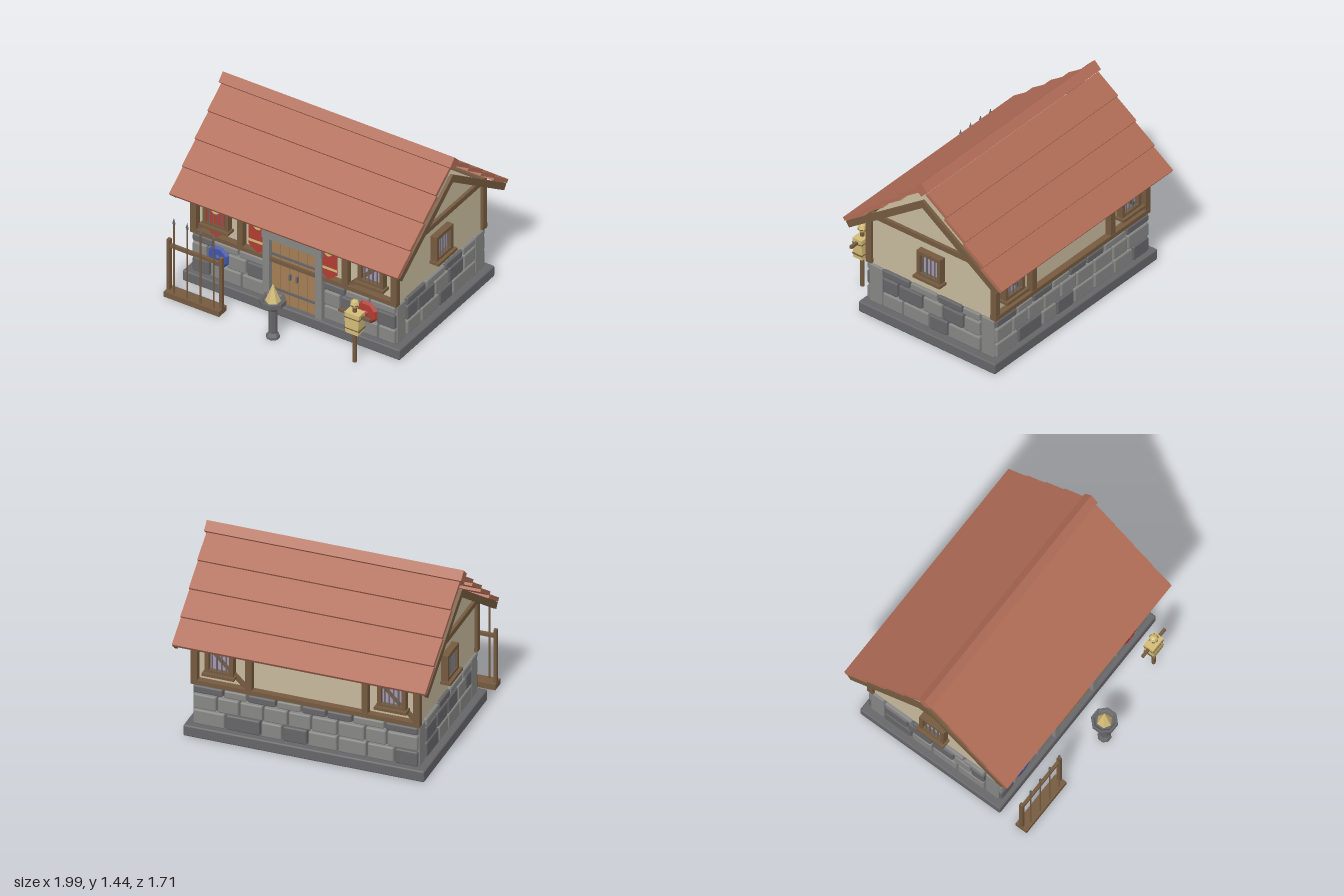
import * as THREE from 'three';
import { RoundedBoxGeometry } from 'three/addons/geometries/RoundedBoxGeometry.js';

const mat = (name, color) => {
  const m = new THREE.MeshStandardMaterial({ color });
  m.name = name;
  return m;
};
const M = {
  roof: mat('roof tile', 0xb06c56), plaster: mat('plaster', 0xc6b99c),
  wood: mat('dark wood', 0x745a3f), plank: mat('plank wood', 0xa47e55),
  stone: mat('light stone', 0x868685), dark: mat('dark stone', 0x666568),
  red: mat('red cloth', 0xb03c33), blue: mat('blue paint', 0x3f55a8),
  gold: mat('straw gold', 0xd2bc78), glass: mat('violet glass', 0xa796ae),
};
const CZ = -0.12;               // ridge line of the house
const HALF = 0.555;             // half depth of the plaster walls
const PITCH = Math.atan(0.697); // roof pitch

const flat = (g) => {
  const f = g.index ? g.toNonIndexed() : g;
  f.computeVertexNormals();
  return f;
};
function add(parent, name, geo, m, x = 0, y = 0, z = 0) {
  const mesh = new THREE.Mesh(geo, m);
  mesh.name = name;
  mesh.position.set(x, y, z);
  parent.add(mesh);
  return mesh;
}
const box = (p, name, m, w, h, d, x, y, z) => add(p, name, new THREE.BoxGeometry(w, h, d), m, x, y, z);
const block = (p, name, m, w, h, d, x, y, z) =>
  add(p, name, new RoundedBoxGeometry(w, h, d, 1, 0.012), m, x, y, z);
const cyl = (p, name, m, r1, r2, h, n, x, y, z) =>
  add(p, name, flat(new THREE.CylinderGeometry(r1, r2, h, n)), m, x, y, z);
function group(parent, name, x = 0, y = 0, z = 0, ry = 0) {
  const g = new THREE.Group();
  g.name = name;
  g.position.set(x, y, z);
  g.rotation.y = ry;
  parent.add(g);
  return g;
}

// Board lying on a roof slope; d, y is its lower outer edge, s the side
function slopeBoard(p, name, m, s, d, y, len, t, w, x) {
  const c = Math.cos(PITCH), n = Math.sin(PITCH);
  const b = box(p, name, m, w, t, len, x, y + n * len / 2 - c * t / 2,
    CZ + s * (d - c * len / 2 - n * t / 2));
  b.rotation.x = s * PITCH;
}

// Barred window facing +z, wall plane at z = 0
function makeWindow(p, x, z, ry) {
  const g = group(p, 'window', x, 0.655, z, ry);
  box(g, 'windowGlass', M.glass, 0.18, 0.18, 0.02, 0, 0, 0.01);
  for (const s of [-1, 1]) {
    box(g, 'windowJamb', M.wood, 0.03, 0.22, 0.055, s * 0.095, 0, 0.0275);
    box(g, 'windowRail', M.wood, 0.22, 0.03, 0.053, 0, s * 0.095, 0.0275);
  }
  box(g, 'windowSill', M.wood, 0.25, 0.022, 0.08, 0, -0.112, 0.04);
  for (let i = 0; i < 4; i++) cyl(g, 'windowBar', M.dark, 0.006, 0.006, 0.17, 6, -0.054 + i * 0.036, 0, 0.046);
}

// Three courses of stone blocks facing +z between x = a and x = b
let seed = 7;
const rand = () => (seed = (seed * 16807) % 2147483647) / 2147483647;
function courses(p, a, b) {
  [[0.1, 0.12], [0.23, 0.12], [0.362, 0.06]].forEach(([y, h], row) => {
    const n = Math.max(2, Math.round((b - a) / 0.23) + (row === 1 ? 1 : 0));
    const w = Array.from({ length: n }, () => 0.75 + rand() * 0.6);
    const sum = w.reduce((u, v) => u + v, 0);
    let x = a;
    for (const v of w) {
      const len = (v / sum) * (b - a);
      block(p, 'wallStone', rand() < 0.35 ? M.dark : M.stone, len - 0.012, h, 0.06, x + len / 2, y + h / 2, 0);
      x += len;
    }
  });
}

// Hanging banner with a pointed hem
function banner(p, x) {
  const g = group(p, 'banner', x, 0, 0.479);
  const s = new THREE.Shape();
  [[-0.076, 0.82], [-0.076, 0.52], [0, 0.46], [0.076, 0.52], [0.076, 0.82]]
    .forEach(([u, v], i) => (i ? s.lineTo(u, v) : s.moveTo(u, v)));
  add(g, 'bannerCloth', new THREE.ExtrudeGeometry(s, { depth: 0.005, bevelEnabled: false }), M.red);
  box(g, 'bannerStripe', M.gold, 0.152, 0.02, 0.004, 0, 0.558, 0.006);
  cyl(g, 'bannerDisc', M.gold, 0.034, 0.034, 0.005, 12, 0, 0.7, 0.0065).rotation.x = Math.PI / 2;
  box(g, 'bannerRod', M.wood, 0.18, 0.015, 0.02, 0, 0.825, 0);
}

function shield(p, m, x) {
  const g = group(p, 'shield', x, 0.305, 0.494);
  g.rotation.set(Math.PI / 2, Math.PI / 8, 0);
  cyl(g, 'shieldFace', m, 0.08, 0.097, 0.022, 8, 0, 0, 0);
  cyl(g, 'shieldBoss', m, 0.012, 0.025, 0.015, 8, 0, 0.016, 0);
}

function buildWalls(p) {
  block(p, 'plinth', M.dark, 1.866, 0.09, 1.27, 0, 0.045, CZ);
  box(p, 'stoneCore', M.dark, 1.7, 0.34, 1.12, 0, 0.255, CZ);
  // plaster body with gables
  const s = new THREE.Shape();
  [[-HALF, 0.415], [HALF, 0.415], [HALF, 0.86], [0, 1.245], [-HALF, 0.86]]
    .forEach(([u, v], i) => (i ? s.lineTo(u, v) : s.moveTo(u, v)));
  const geo = new THREE.ExtrudeGeometry(s, { depth: 1.72, bevelEnabled: false });
  geo.translate(0, 0, -0.86).rotateY(Math.PI / 2);
  add(p, 'plasterWalls', geo, M.plaster, 0, 0, CZ);
  // stone courses and corner piers
  const front = group(p, 'frontStones', 0, 0, CZ + 0.575);
  courses(front, -0.875, -0.255);
  courses(front, 0.255, 0.875);
  courses(group(p, 'backStones', 0, 0, CZ - 0.575, Math.PI), -0.875, 0.875);
  for (const x of [-1, 1]) {
    courses(group(p, 'sideStones', x * 0.855, 0, CZ, x * Math.PI / 2), -0.455, 0.455);
    for (const z of [-1, 1]) block(p, 'cornerPier', M.stone, 0.12, 0.33, 0.12, x * 0.818, 0.255, CZ + z * 0.52);
    // gable timber and window
    box(p, 'gableBeam', M.wood, 0.03, 0.042, 1.15, x * 0.87, 0.86, CZ);
    makeWindow(p, x * 0.86, CZ, x * Math.PI / 2);
  }
  // timber frame of the long walls
  for (const s of [-1, 1]) {
    const z = CZ + s * (HALF + 0.025);
    for (const x of [-0.86, -0.46, 0.44, 0.86]) box(p, 'wallPost', M.wood, 0.05, 0.42, 0.05, x, 0.64, z);
    box(p, 'sillBeam', M.wood, 1.77, 0.034, 0.055, 0, 0.45, z);
    box(p, 'eaveBeam', M.wood, 1.77, 0.042, 0.05, 0, 0.86, z);
    for (const x of [-0.66, 0.65]) {
      box(p, 'diagonalBrace', M.wood, 0.5, 0.03, 0.03, x, 0.645, z - s * 0.015).rotation.z = 0.785;
      makeWindow(p, x + (x < 0 ? -0.008 : 0.015), CZ + s * HALF, s > 0 ? 0 : Math.PI);
    }
  }
}

function buildRoof(p) {
  for (const s of [-1, 1]) {
    for (let k = 0; k < 4; k++)
      slopeBoard(p, 'roofCourse', M.roof, s, 0.74 - 0.17 * k, 0.81 + 0.144 * k, 0.225, 0.03, 1.96, 0);
    for (const x of [-0.97, 0.97]) slopeBoard(p, 'bargeRafter', M.wood, s, 0.71, 0.79, 0.866, 0.052, 0.025, x);
  }
  box(p, 'ridgeBeam', M.roof, 1.99, 0.082, 0.082, 0, 1.387, CZ).rotation.x = Math.PI / 4;
}

function buildDoor(p) {
  const g = group(p, 'doorway');
  for (let i = 0; i < 5; i++) box(g, 'doorPlank', M.plank, 0.074, 0.55, 0.03, -0.156 + i * 0.078, 0.365, 0.455);
  box(g, 'doorBacking', M.wood, 0.4, 0.55, 0.02, 0, 0.365, 0.45);
  for (const y of [0.2, 0.5]) box(g, 'doorStrap', M.dark, 0.39, 0.02, 0.01, 0, y, 0.474);
  for (const s of [-1, 1]) {
    box(g, 'doorJamb', M.stone, 0.055, 0.56, 0.07, s * 0.225, 0.365, 0.468);
    box(g, 'doorHandle', M.dark, 0.012, 0.05, 0.02, s * 0.03, 0.35, 0.48);
  }
  box(g, 'doorLintel', M.stone, 0.51, 0.07, 0.08, 0, 0.675, 0.47);
  // plank panel with crossed swords over the lintel
  for (let i = 0; i < 4; i++) box(g, 'panelPlank', M.plank, 0.074, 0.15, 0.025, -0.115 + i * 0.0767, 0.78, 0.455);
  for (const s of [-1, 1])
    box(g, 'crossedSword', M.stone, 0.22, 0.014, 0.008, 0, 0.77, 0.474 + s * 0.004).rotation.z = s * 0.7;
}

function buildRack(p) {
  const g = group(p, 'weaponRack', -0.698, 0, 0.71);
  box(g, 'rackBase', M.wood, 0.475, 0.045, 0.1, 0, 0.0225, 0);
  for (const s of [-1, 1]) box(g, 'rackPost', M.wood, 0.026, 0.45, 0.03, s * 0.224, 0.26, -0.005);
  box(g, 'rackRail', M.wood, 0.475, 0.028, 0.024, 0, 0.43, -0.005);
  for (let i = 0; i < 4; i++) {
    const x = -0.162 + i * 0.114;
    cyl(g, 'spearShaft', M.wood, 0.006, 0.006, 0.62, 6, x, 0.335, 0.03);
    const tip = add(g, 'spearTip', flat(new THREE.OctahedronGeometry(0.04)), M.dark, x, 0.665, 0.03);
    tip.scale.set(0.33, 1.15, 0.33);
  }
}

function buildBrazier(p) {
  const g = group(p, 'brazier', 0, 0, 0.755);
  const prof = [[0, 0], [0.052, 0], [0.05, 0.02], [0.032, 0.045], [0.032, 0.24], [0.05, 0.27],
    [0.1, 0.3], [0.1, 0.335], [0.085, 0.335], [0.07, 0.32], [0, 0.32]];
  const bowl = add(g, 'brazierBowl', flat(new THREE.LatheGeometry(prof.map(([x, y]) => new THREE.Vector2(x, y)), 8)), M.dark);
  bowl.rotation.y = Math.PI / 8;
  cyl(g, 'flame', M.gold, 0, 0.058, 0.15, 6, 0, 0.395, 0);
}

function buildDummy(p) {
  const g = group(p, 'trainingDummy', 0.664, 0, 0.695);
  cyl(g, 'dummyPost', M.wood, 0.016, 0.016, 0.5, 8, 0, 0.25, 0);
  box(g, 'dummyArms', M.wood, 0.27, 0.022, 0.022, 0, 0.41, 0);
  // straw body, narrower at the bottom
  const geo = new THREE.BoxGeometry(0.126, 0.175, 0.085), a = geo.attributes.position;
  for (let i = 0; i < a.count; i++) if (a.getY(i) < 0) a.setX(i, a.getX(i) * 0.85);
  add(g, 'dummyBody', flat(geo), M.gold, 0, 0.353, 0);
  for (const y of [0.305, 0.4]) box(g, 'dummyStrap', M.wood, 0.128, 0.008, 0.089, 0, y, 0);
  cyl(g, 'dummyNeck', M.gold, 0.015, 0.015, 0.05, 8, 0, 0.46, 0);
  add(g, 'dummyHead', flat(new THREE.SphereGeometry(0.037, 6, 4)), M.gold, 0, 0.51, 0);
  cyl(g, 'dummyHeadBand', M.wood, 0.038, 0.038, 0.006, 6, 0, 0.508, 0);
}

export function createModel() {
  const root = new THREE.Group();
  root.name = 'guardHouse';
  buildWalls(root);
  buildRoof(root);
  buildDoor(root);
  for (const x of [-0.67, -0.307, 0.3]) banner(root, x);
  shield(root, M.blue, -0.64);
  shield(root, M.red, 0.635);
  buildRack(root);
  buildBrazier(root);
  buildDummy(root);
  return root;
}
